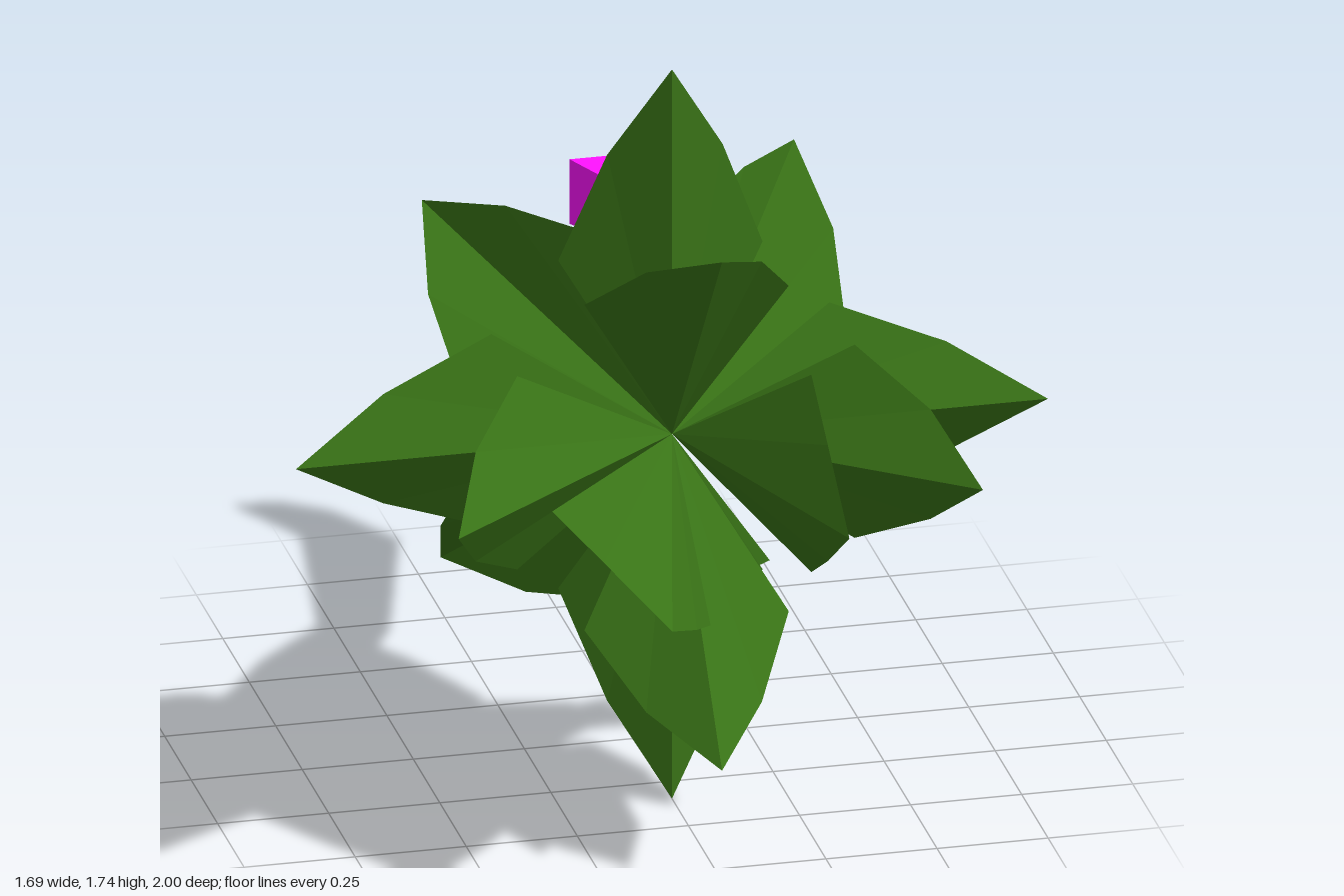
import * as THREE from 'three';

const CENTER = new THREE.Vector3(0, 0.86, 0.345);
const mat = (color) => new THREE.MeshStandardMaterial({ color, flatShading: true, side: THREE.DoubleSide });

function meshFromTriangles(name, points, material) {
  const geo = new THREE.BufferGeometry().setFromPoints(points);
  geo.computeVertexNormals();
  const mesh = new THREE.Mesh(geo, material);
  mesh.name = name;
  return mesh;
}

// Leaf outlines: [distance along midrib, half width, depth of the fold]
const FLAT = { shoulder: [0.39, 0.23, 0.11], upper: [0.65, 0.13, 0.067], tip: 0.868 };
const SLOPED = { shoulder: [0.39, 0.23, 0.13], upper: [0.6, 0.13, 0.083], tip: 0.768 };
const STEEP = { shoulder: [0.352, 0.235, 0.132], upper: [0.51, 0.138, 0.07], tip: 0.7 };

// Folded leaf: azimuth is around z from +x, tilt is towards +z, reach scales its length
function leaf(name, outline, azimuth, tilt, material, { reach = 1, hasTip = true } = {}) {
  const a = THREE.MathUtils.degToRad(azimuth);
  const t = THREE.MathUtils.degToRad(tilt);
  const sign = t < 0 ? -1 : 1;
  const radial = new THREE.Vector3(Math.cos(a), Math.sin(a), 0);
  const side = new THREE.Vector3(-Math.sin(a), Math.cos(a), 0);
  const front = new THREE.Vector3(0, 0, 1);
  const along = radial.clone().multiplyScalar(Math.cos(t)).addScaledVector(front, Math.sin(t));
  const fold = radial.clone().multiplyScalar(Math.abs(Math.sin(t))).addScaledVector(front, -sign * Math.cos(t));
  const at = ([l, w, d], s) => CENTER.clone()
    .addScaledVector(along, l * reach).addScaledVector(side, w * s).addScaledVector(fold, d);

  const points = [];
  const tip = at([outline.tip, 0, 0], 1);
  for (const s of [1, -1]) {
    const shoulder = at(outline.shoulder, s), upper = at(outline.upper, s);
    const tris = [[shoulder, upper]];
    if (hasTip) tris.push([upper, tip]);
    for (const [p, q] of tris) points.push(CENTER, ...(s * sign > 0 ? [q, p] : [p, q]));
  }
  return meshFromTriangles(name, points, material);
}

// Open four-sided tapering stem through sections [z, xLeft, xRight, yLow, yHigh]
function stem(material) {
  const sections = [
    [0.08, 0, 0, 0.862, 0.886],
    [-0.3, 0.09, 0.19, 0.834, 0.912],
    [-0.8, 0.19, 0.31, 0.808, 0.936],
    [-1, 0.09, 0.19, 0.792, 0.946],
  ].map(([z, x0, x1, y0, y1]) => [[x0, y0], [x1, y0], [x1, y1], [x0, y1]]
    .map(([x, y]) => new THREE.Vector3(x, y, z)));
  const points = [];
  for (let i = 0; i < sections.length - 1; i++) {
    for (let k = 0; k < 4; k++) {
      const n = (k + 1) % 4;
      const a = sections[i][k], b = sections[i][n], c = sections[i + 1][n], d = sections[i + 1][k];
      points.push(a, c, b, a, d, c);
    }
  }
  return meshFromTriangles('stem', points, material);
}

export function createModel() {
  const model = new THREE.Group();
  model.name = 'leafCluster';
  const green = mat(0x3a7517);

  // Upright ring and forward-leaning ring
  for (let i = 0; i < 4; i++) {
    const reach = i % 2 ? 1 : 0.975;
    model.add(leaf('outerLeaf', FLAT, i * 90, 0, green, { reach }));
    model.add(leaf('forwardLeaf', SLOPED, i * 90, 38, green, { reach }));
  }

  // Two steep leaves in the middle
  model.add(leaf('innerLeafLeft', STEEP, 0, 69.7, green));
  model.add(leaf('innerLeafRight', STEEP, 229.3, 70, green));

  // Backward-leaning diagonal leaves, one with its inner blades missing
  for (const azimuth of [50.4, 138, 227.7]) {
    model.add(leaf('backLeaf', SLOPED, azimuth, -37.8, green));
  }
  model.add(leaf('splitBackLeaf', SLOPED, -43.4, -37.8, green, { hasTip: false }));

  // Stem and the thin sliver joining it to the leaves
  model.add(stem(mat(0xff12ff)));
  model.add(meshFromTriangles('stemTip', [
    CENTER, new THREE.Vector3(0, 0.886, 0.08), new THREE.Vector3(0, 0.862, 0.08),
  ], mat(0x8a4a14)));
  return model;
}
